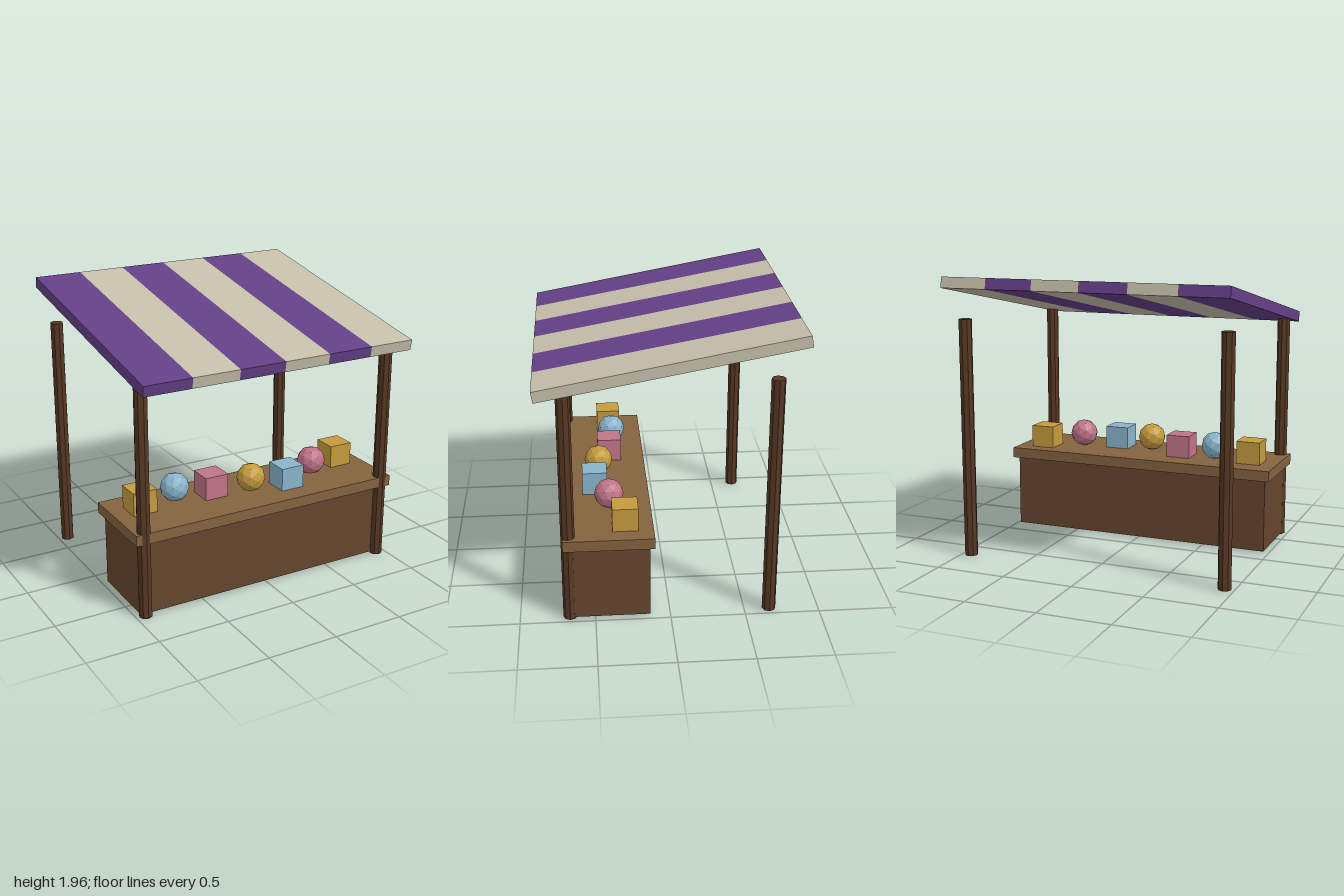
import * as THREE from 'three';

const material = (name, color) => {
  const m = new THREE.MeshStandardMaterial({ color });
  m.name = name;
  return m;
};

// Gives every facet its own normals for a crisp low-poly look
function faceted(geometry) {
  const g = geometry.index ? geometry.toNonIndexed() : geometry;
  g.computeVertexNormals();
  return g;
}

export function createModel() {
  const model = new THREE.Group();
  model.name = 'marketStall';

  const purple = material('purple cloth', 0x643f86);
  const cream = material('cream cloth', 0xc6beaa);
  const postWood = material('dark post wood', 0x573823);
  const baseWood = material('brown counter wood', 0x65452f);
  const topWood = material('light counter wood', 0x83623f);
  const yellow = material('yellow goods', 0xc49b3c);
  const blue = material('blue goods', 0x88b4cc);
  const pink = material('pink goods', 0xc07488);

  const add = (parent, name, geometry, mat, x, y, z) => {
    const mesh = new THREE.Mesh(geometry, mat);
    mesh.name = name;
    mesh.position.set(x, y, z);
    parent.add(mesh);
    return mesh;
  };

  // Counter
  add(model, 'counterBase', new THREE.BoxGeometry(1.93, 0.52, 0.533), baseWood, 0, 0.273, 0.4);
  add(model, 'counterTop', new THREE.BoxGeometry(2, 0.075, 0.6), topWood, 0, 0.567, 0.403);

  // Four eight-sided posts; the front pair reaches into the canopy
  const postGeometry = faceted(new THREE.CylinderGeometry(0.046, 0.046, 1.667, 8));
  for (const [side, x] of [['left', 0.933], ['right', -0.933]]) {
    add(model, side + 'FrontPost', postGeometry, postWood, x, 0.8335, 0.668);
    add(model, side + 'BackPost', postGeometry, postWood, x, 0.8335, -0.667);
  }

  // Striped canopy sloping down to the front
  const canopy = new THREE.Group();
  canopy.name = 'canopy';
  canopy.position.y = 1.768;
  canopy.rotation.x = 0.182;
  model.add(canopy);
  const stripeWidth = 2 / 6;
  const stripe = new THREE.BoxGeometry(stripeWidth, 0.075, 1.733);
  for (let i = 0; i < 6; i++) {
    add(canopy, 'canopyStripe', stripe, i % 2 ? cream : purple, -1 + (i + 0.5) * stripeWidth, 0, 0);
  }

  // Goods: boxes and balls alternate, colours cycle
  const box = new THREE.BoxGeometry(0.172, 0.172, 0.172);
  const ball = faceted(new THREE.IcosahedronGeometry(0.1, 1));
  const colours = [yellow, blue, pink];
  const depths = [0.345, 0.33, 0.355, 0.44, 0.475, 0.385, 0.29];
  depths.forEach((z, i) => {
    const isBall = i % 2 === 1;
    add(model, isBall ? 'goodsBall' : 'goodsBox', isBall ? ball : box, colours[i % 3],
      (i - 3) * 0.267, isBall ? 0.705 : 0.68, z);
  });

  return model;
}
